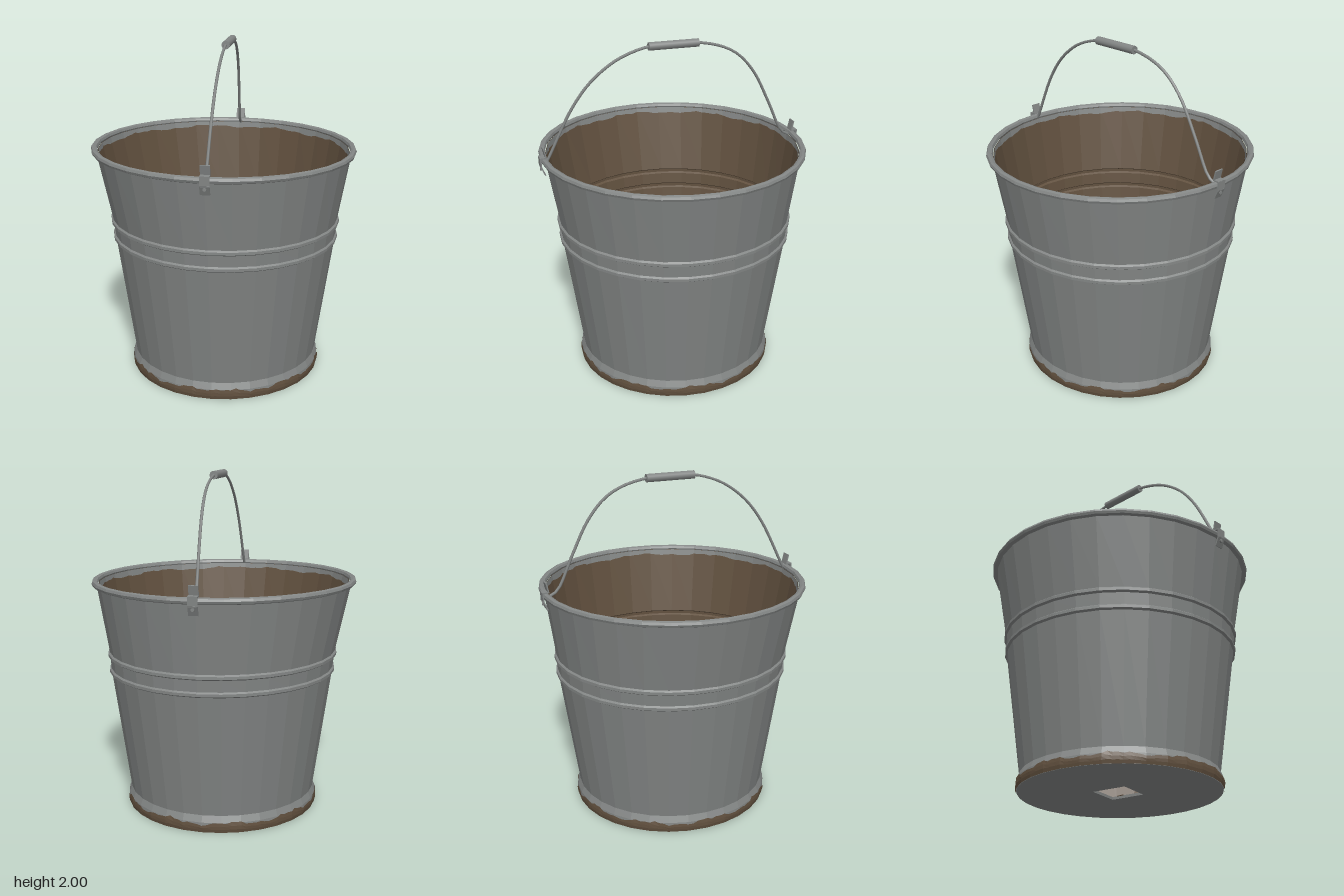
import * as THREE from 'three';

const SIDES = 32;
const mat = (name, color) => Object.assign(new THREE.MeshStandardMaterial({ color }), { name });

// outer wall profile [radius, height], with two raised beads
const PROFILE = [
  [0.572, 0.004], [0.578, 0.03], [0.575, 0.062], [0.56, 0.1],
  [0.663, 0.82], [0.676, 0.828], [0.676, 0.844], [0.666, 0.852],
  [0.673, 0.918], [0.686, 0.926], [0.686, 0.942], [0.676, 0.95], [0.755, 1.355],
];

function radiusAt(y) {
  for (let i = 1; i < PROFILE.length; i++) {
    const [r0, y0] = PROFILE[i - 1], [r1, y1] = PROFILE[i];
    if (y <= y1) return r0 + (r1 - r0) * Math.max(0, (y - y0) / (y1 - y0));
  }
  return 0.755;
}

// slightly out of true: shifted and oval low down, tilted at the rim
function warp(geo) {
  const p = geo.attributes.position;
  for (let i = 0; i < p.count; i++) {
    const x = p.getX(i), y = p.getY(i), z = p.getZ(i);
    const low = THREE.MathUtils.clamp((1.36 - y) / 0.5, 0, 1);
    p.setXYZ(i, x + 0.009 * low, y - 0.008 * x * Math.min(1, y), z * (1 + 0.028 * low) - 0.008 * low);
  }
  return geo;
}

function flat(geo) {
  const g = geo.index ? geo.toNonIndexed() : geo;
  g.computeVertexNormals();
  return g;
}

function ringOf(points) {
  return flat(warp(new THREE.LatheGeometry(points.map(([r, y]) => new THREE.Vector2(r, y)), SIDES)));
}

// ragged band lying on the faceted wall; lower(i) and upper(i) give its edges
function raggedBand(offset, lower, upper, inside) {
  const n = SIDES * 4, pos = [], idx = [];
  for (let i = 0; i <= n; i++) {
    const a = (i / n) * Math.PI * 2, half = Math.PI / SIDES;
    const facet = Math.cos(half) / Math.cos((a % (2 * half)) - half);
    const y0 = lower(i % n), y1 = upper(i % n);
    for (let k = 0; k <= 3; k++) {
      const y = y0 + (y1 - y0) * k / 3, r = (radiusAt(y) + offset) * facet;
      pos.push(r * Math.sin(a), y, r * Math.cos(a));
      if (i < n && k < 3) {
        const p = i * 4 + k, q = p + 4;
        if (inside) idx.push(p, p + 1, q, q, p + 1, q + 1);
        else idx.push(p, q, p + 1, q, q + 1, p + 1);
      }
    }
  }
  const g = new THREE.BufferGeometry();
  g.setAttribute('position', new THREE.Float32BufferAttribute(pos, 3));
  g.setIndex(idx);
  return flat(warp(g));
}

const ragged = (i) => Math.sin(i * 0.47) * 0.5 + Math.sin(i * 1.33 + 1) * 0.3 + Math.sin(i * 2.9) * 0.2;

function polygon(points) {
  return new THREE.Shape(points.map(([x, z]) => new THREE.Vector2(x, -z)));
}

export function createModel() {
  const model = new THREE.Group();
  model.name = 'bucket';
  const steel = mat('galvanized steel', 0x838685);
  const rust = mat('rust', 0x62513f);
  const add = (name, geo, material, parent = model) => {
    const m = new THREE.Mesh(geo, material);
    m.name = name;
    parent.add(m);
    return m;
  };

  // walls and rolled rim
  add('outerWall', ringOf(PROFILE), steel);
  add('innerWall', ringOf(PROFILE.map(([r, y]) => [r - 0.012, y]).reverse()), rust);
  const roll = [];
  for (let i = 0; i <= 8; i++) {
    const a = (i / 8) * Math.PI * 2;
    roll.push([0.764 + 0.019 * Math.cos(a), 1.361 + 0.019 * Math.sin(a)]);
  }
  add('rim', ringOf(roll), steel);

  // rusted foot and bare strip under the rim
  add('footRust', raggedBand(0.003, () => 0.004, (i) => 0.058 + 0.016 * ragged(i)), rust);
  add('innerRimStrip', raggedBand(-0.015, (i) => 1.325 + 0.012 * ragged(i), () => 1.355, true), steel);

  // floor with a torn square hole
  const edge = [];
  for (let i = 0; i < SIDES; i++) {
    const a = (i / SIDES) * Math.PI * 2;
    edge.push([0.571 * Math.sin(a), 0.571 * Math.cos(a)]);
  }
  const floorShape = polygon(edge);
  floorShape.holes.push(polygon([[-0.13, -0.08], [0.07, -0.12], [0.107, 0.078], [-0.09, 0.118]]));
  const floor = new THREE.ExtrudeGeometry(floorShape, { depth: 0.016, bevelEnabled: false });
  floor.rotateX(-Math.PI / 2).translate(0, 0.004, 0);
  add('floor', flat(warp(floor)), steel);

  // rust marks on the floor
  const mark = new THREE.ExtrudeGeometry(
    polygon([[0.14, -0.13], [0.14, -0.09], [0.11, -0.06], [0.085, -0.06], [0.085, -0.1], [0.11, -0.13]]),
    { depth: 0.004, bevelEnabled: false });
  add('floorRustPatch', mark.rotateX(-Math.PI / 2).translate(0, 0.019, 0), rust);
  for (const [x, z] of [[0.19, -0.47], [0.41, -0.17], [-0.295, 0.11], [-0.155, 0.34]]) {
    add('rustSpeck', new THREE.CylinderGeometry(0.007, 0.007, 0.004, 5), rust).position.set(x, 0.021, z);
  }

  // folded ears clipped over the rim, each with a rivet
  const earPath = [[0.766, 1.287], [0.787, 1.335], [0.789, 1.385], [0.756, 1.387], [0.768, 1.44]];
  for (const side of [1, -1]) {
    const ear = new THREE.Group();
    ear.name = side > 0 ? 'frontEar' : 'backEar';
    for (let i = 1; i < earPath.length; i++) {
      const [z0, y0] = earPath[i - 1], [z1, y1] = earPath[i];
      const len = Math.hypot(z1 - z0, y1 - y0);
      const plate = add('earPlate', new THREE.BoxGeometry(0.054, len + 0.006, 0.008), steel, ear);
      plate.position.set(0, (y0 + y1) / 2, (z0 + z1) / 2);
      plate.rotation.x = Math.atan2(z1 - z0, y1 - y0);
    }
    const rivet = add('rivet', new THREE.CylinderGeometry(0.01, 0.012, 0.012, 8), steel, ear);
    rivet.rotation.x = Math.PI / 2;
    rivet.position.set(0, 1.318, 0.784);
    ear.position.x = 0.009;
    if (side < 0) ear.rotation.y = Math.PI;
    if (side < 0) ear.position.z = 0.004;
    model.add(ear);
  }

  // wire bail, leaning slightly to one side
  const bail = [
    [0.755, 1.35], [0.735, 1.385], [0.6, 1.65], [0.5, 1.785], [0.4, 1.872], [0.3, 1.93], [0.15, 1.975], [0, 1.978],
    [-0.15, 1.975], [-0.3, 1.938], [-0.4, 1.88], [-0.5, 1.765], [-0.6, 1.575], [-0.695, 1.385], [-0.745, 1.355],
  ].map(([z, y]) => new THREE.Vector3(0.01 + 0.02 * (y - 1.36) / 0.62, y, z));
  add('bail', new THREE.TubeGeometry(new THREE.CatmullRomCurve3(bail), 48, 0.0085, 6), steel);

  // hand grip
  const grip = add('grip', new THREE.CylinderGeometry(0.024, 0.024, 0.295, 12), steel);
  grip.rotation.x = Math.PI / 2;
  grip.position.set(0.031, 1.976, 0.002);

  return model;
}
